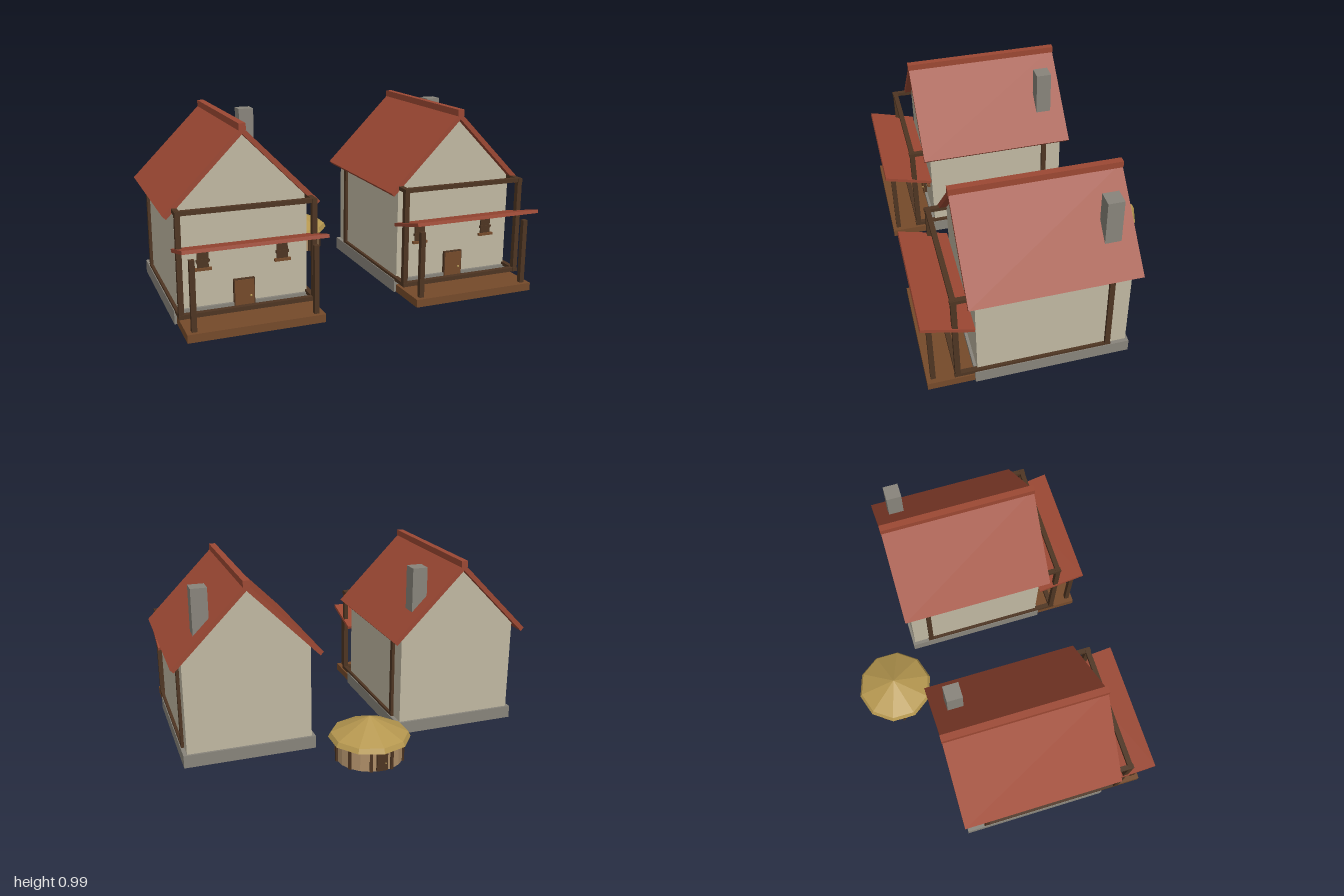
import * as THREE from 'three';

const mat = (name, color) => {
  const m = new THREE.MeshStandardMaterial({ color });
  m.name = name;
  return m;
};

export function createModel() {
  const plaster = mat('plaster', 0xc0b8a2);
  const stone = mat('stone', 0x88847b);
  const tile = mat('roof tile', 0x9c4833);
  const timber = mat('dark timber', 0x4e3522);
  const wood = mat('brown wood', 0x754a2a);
  const plank = mat('pale plank', 0xae8e68);
  const thatch = mat('thatch', 0xb5974f);
  const brass = mat('brass', 0xb89a55);
  for (const m of [plank, thatch]) m.flatShading = true;

  const add = (parent, name, geo, material, x = 0, y = 0, z = 0) => {
    const mesh = new THREE.Mesh(geo, material);
    mesh.name = name;
    mesh.position.set(x, y, z);
    parent.add(mesh);
    return mesh;
  };
  // Box given by its extents on each axis
  const box = (parent, name, material, [x0, x1], [y0, y1], [z0, z1]) =>
    add(parent, name, new THREE.BoxGeometry(x1 - x0, y1 - y0, z1 - z0), material,
      (x0 + x1) / 2, (y0 + y1) / 2, (z0 + z1) / 2);
  // Outline in x, y swept from z0 to z1
  const sweep = (parent, name, material, pts, z0, z1) => {
    const shape = new THREE.Shape(pts.map(([x, y]) => new THREE.Vector2(x, y)));
    const geo = new THREE.ExtrudeGeometry(shape, { depth: z1 - z0, bevelEnabled: false });
    return add(parent, name, geo, material, 0, 0, z0);
  };

  function createHouse() {
    const house = new THREE.Group();
    house.name = 'house';

    // Base, walls and roof
    box(house, 'foundation', stone, [-0.36, 0.36], [0, 0.07], [-0.34, 0.48]);
    sweep(house, 'walls', plaster,
      [[-0.34, 0.07], [0.34, 0.07], [0.34, 0.588], [0, 0.934], [-0.34, 0.588]], -0.327, 0.465);
    sweep(house, 'roof', tile,
      [[0.4, 0.563], [0, 0.968], [-0.4, 0.563], [-0.382, 0.545], [0, 0.932], [0.382, 0.545]],
      -0.365, 0.505);
    box(house, 'ridgeCap', tile, [-0.018, 0.018], [0.95, 0.985], [-0.368, 0.508]);
    box(house, 'chimney', stone, [0.18, 0.265], [0.67, 0.945], [-0.285, -0.2]);

    // Timber frame
    for (const s of [-1, 1]) {
      for (const z of [-0.223, 0.567])
        add(house, 'framePost', new THREE.BoxGeometry(0.026, 0.53, 0.028), timber, s * 0.343, 0.33, z);
      for (const y of [0.073, 0.588])
        add(house, 'sideBeam', new THREE.BoxGeometry(0.026, 0.02, 0.825), timber, s * 0.343, y, 0.172);
    }
    for (const y of [0.073, 0.589])
      add(house, 'frontBeam', new THREE.BoxGeometry(0.7, 0.022, 0.027), timber, 0, y, 0.567);

    // Porch
    box(house, 'porchDeck', wood, [-0.347, 0.347], [0, 0.042], [0.48, 0.723]);
    for (const s of [-1, 1])
      add(house, 'porchPost', new THREE.BoxGeometry(0.026, 0.355, 0.026), timber, s * 0.308, 0.218, 0.689);
    add(house, 'porchRoof', new THREE.BoxGeometry(0.72, 0.018, 0.272), tile, 0, 0.415, 0.603)
      .rotation.x = -0.262;

    // Door
    box(house, 'doorFrame', timber, [-0.055, 0.055], [0.045, 0.192], [0.46, 0.481]);
    box(house, 'door', wood, [-0.05, 0.05], [0.045, 0.187], [0.46, 0.485]);
    add(house, 'doorKnob', new THREE.SphereGeometry(0.006, 8, 6), brass, 0.033, 0.1, 0.487);

    // Windows
    for (const s of [-1, 1]) {
      const win = new THREE.Group();
      win.name = 'window';
      win.position.set(s * 0.206, 0, 0.465);
      box(win, 'windowPane', timber, [-0.029, 0.029], [0.27, 0.352], [-0.005, 0.008]);
      box(win, 'windowBar', timber, [-0.034, 0.034], [0.302, 0.316], [-0.005, 0.012]);
      box(win, 'windowSill', wood, [-0.043, 0.043], [0.26, 0.273], [-0.005, 0.018]);
      house.add(win);
    }
    return house;
  }

  function createHut() {
    const hut = new THREE.Group();
    hut.name = 'roundHut';
    hut.position.z = -0.521;

    // Plank wall with posts at the corners
    add(hut, 'hutWall', new THREE.CylinderGeometry(0.182, 0.182, 0.125, 20), plank, 0, 0.0625, 0);
    for (let i = 0; i < 10; i++) {
      const a = (i + 0.5) * Math.PI / 5;
      add(hut, 'hutPost', new THREE.BoxGeometry(0.016, 0.125, 0.016), timber,
        Math.sin(a) * 0.182, 0.0625, Math.cos(a) * 0.182).rotation.y = a;
    }

    // Thatched roof with a steeper rim
    add(hut, 'hutRoof', new THREE.ConeGeometry(0.207, 0.095, 10, 1, true), thatch, 0, 0.1885, 0);
    add(hut, 'hutRoofRim', new THREE.CylinderGeometry(0.207, 0.22, 0.026, 10), thatch, 0, 0.128, 0);

    // Door at the back
    box(hut, 'hutDoor', timber, [-0.03, 0.03], [0.005, 0.098], [-0.19, -0.17]);
    add(hut, 'hutDoorKnob', new THREE.SphereGeometry(0.004, 8, 6), brass, -0.018, 0.046, -0.192);
    return hut;
  }

  const model = new THREE.Group();
  model.name = 'village';
  for (const s of [-1, 1]) {
    const house = createHouse();
    house.position.x = s * 0.6;
    model.add(house);
  }
  model.add(createHut());
  return model;
}
